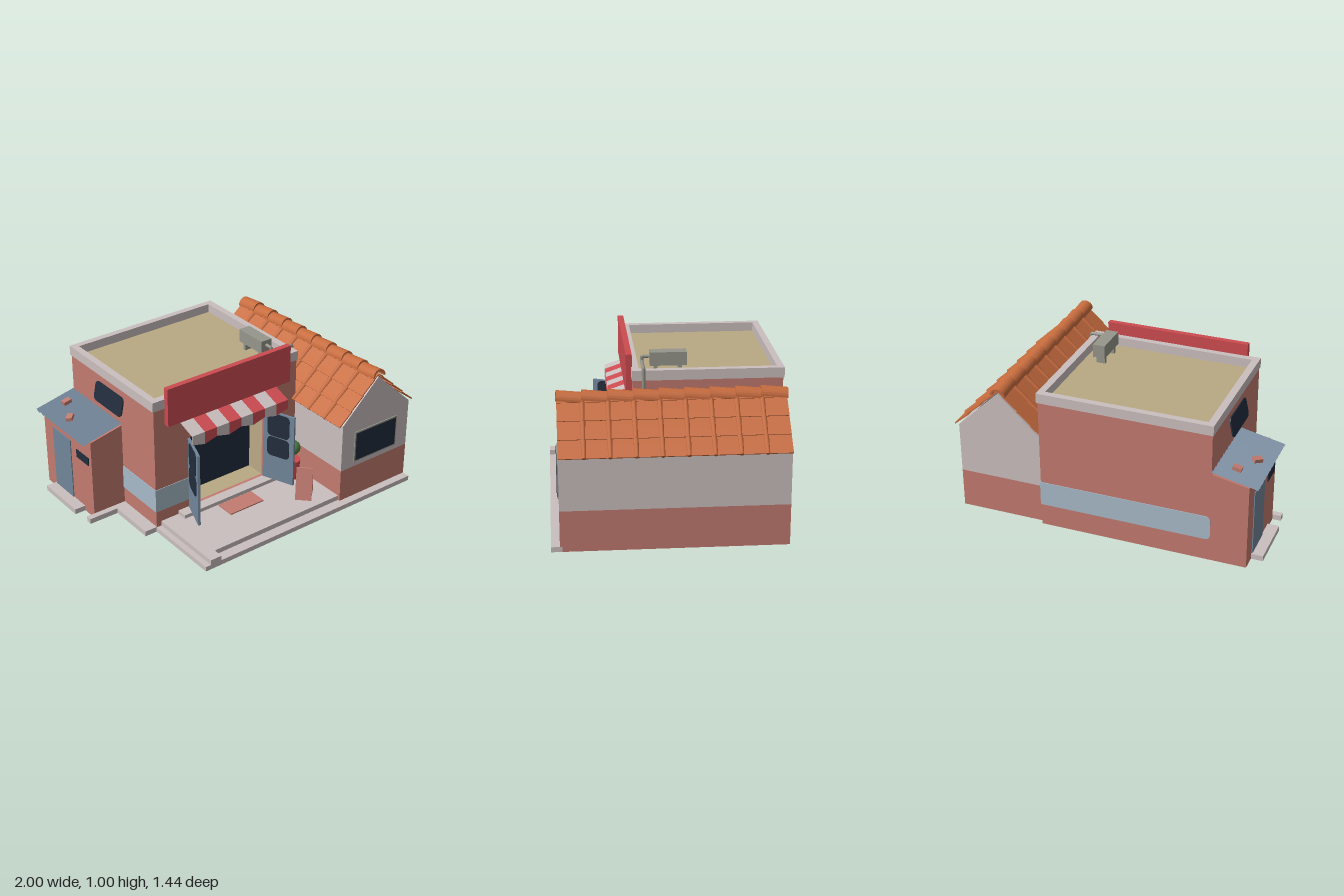
import * as THREE from 'three';

const mat = (name, color) => {
  const m = new THREE.MeshStandardMaterial({ color, side: THREE.DoubleSide });
  m.name = name;
  return m;
};

export function createModel() {
  const root = new THREE.Group();
  root.name = 'cornerShop';
  const salmon = mat('salmon plaster', 0xc27b70), pale = mat('pale stone', 0xcbbfbf);
  const red = mat('red', 0xcc4b50), blue = mat('pale blue', 0xa7bac8);
  const dark = mat('dark glass', 0x222d3c), tan = mat('tan', 0xb9a983);
  const clay = mat('terracotta', 0xc76c3e), slate = mat('slate blue', 0x71869a);
  const grey = mat('metal grey', 0x96968c), green = mat('leaf green', 0x4a8040);

  const add = (name, geo, m, parent = root) => {
    const mesh = new THREE.Mesh(geo, m);
    mesh.name = name;
    parent.add(mesh);
    return mesh;
  };
  const group = (name, x, y, z, parent = root) => {
    const g = new THREE.Group();
    g.name = name;
    g.position.set(x, y, z);
    parent.add(g);
    return g;
  };
  // box from its extents
  const box = (name, m, x0, x1, y0, y1, z0, z1, parent = root) => {
    const b = add(name, new THREE.BoxGeometry(x1 - x0, y1 - y0, z1 - z0), m, parent);
    b.position.set((x0 + x1) / 2, (y0 + y1) / 2, (z0 + z1) / 2);
    return b;
  };
  const poly = (pts) => new THREE.Shape(pts.map(([x, y]) => new THREE.Vector2(x, y)));
  const rectPath = (x0, x1, y0, y1) => poly([[x0, y0], [x1, y0], [x1, y1], [x0, y1]]);
  const slab = (shape, depth) => new THREE.ExtrudeGeometry(shape, { depth, bevelEnabled: false, curveSegments: 6 });
  // rounded rectangle plate centred on its origin
  const roundPlate = (w, h, r, d) => {
    const s = new THREE.Shape(), x = w / 2, y = h / 2;
    s.absarc(x - r, y - r, r, 0, Math.PI / 2);
    s.absarc(-x + r, y - r, r, Math.PI / 2, Math.PI);
    s.absarc(-x + r, -y + r, r, Math.PI, Math.PI * 1.5);
    s.absarc(x - r, -y + r, r, Math.PI * 1.5, Math.PI * 2);
    return slab(s, d).translate(0, 0, -d / 2);
  };

  // main block walls with a doorway
  const front = rectPath(-0.695, 0.405, 0, 0.89);
  front.holes.push(rectPath(-0.44, 0.15, 0.09, 0.59));
  add('frontWall', slab(front, 0.02), salmon).position.z = 0.18;
  box('backWall', salmon, -0.695, 0.405, 0, 0.89, -0.72, -0.7);
  box('leftSideWall', salmon, -0.695, -0.675, 0, 0.89, -0.7, 0.18);
  box('rightSideWall', salmon, 0.385, 0.405, 0, 0.89, -0.7, 0.18);

  // flat roof and parapet
  box('flatRoof', tan, -0.675, 0.385, 0.85, 0.865, -0.7, 0.18);
  const rim = rectPath(-0.702, 0.412, -0.205, 0.727);
  rim.holes.push(rectPath(-0.657, 0.367, -0.16, 0.685));
  add('parapet', slab(rim, 0.063).rotateX(-Math.PI / 2), pale).position.y = 0.86;

  // painted band around the walls
  box('bandFrontLeft', blue, -0.699, -0.44, 0.145, 0.305, 0.2, 0.204);
  box('bandFrontRight', blue, 0.15, 0.409, 0.145, 0.305, 0.2, 0.204);
  box('bandSide', blue, -0.699, -0.695, 0.145, 0.305, -0.16, 0.2);
  box('bandRight', blue, 0.405, 0.409, 0.145, 0.305, -0.724, -0.69);
  add('bandBack', roundPlate(1.1, 0.16, 0.03, 0.004), blue).position.set(-0.145, 0.225, -0.722);
  box('bandBackEnd', blue, 0.3, 0.409, 0.145, 0.305, -0.724, -0.72);

  // shallow shop interior
  box('shopFloor', tan, -0.45, 0.16, 0.07, 0.09, 0.05, 0.18);
  box('shopCeiling', tan, -0.45, 0.16, 0.59, 0.6, 0.05, 0.18);
  box('shopSideA', tan, -0.45, -0.44, 0.09, 0.59, 0.05, 0.18);
  box('shopSideB', tan, 0.15, 0.16, 0.09, 0.59, 0.05, 0.18);
  box('shopBack', dark, -0.45, 0.16, 0.07, 0.6, 0.04, 0.05);

  // open double doors with rounded panes
  for (const s of [-1, 1]) {
    const door = group('door', -0.145 + s * 0.295, 0.09, 0.2);
    door.rotation.y = -Math.PI / 2 + s * 0.36;
    box('doorLeaf', slate, 0, 0.225, 0, 0.5, -0.008, 0.008, door);
    add('upperPane', roundPlate(0.16, 0.165, 0.03, 0.022), dark, door).position.set(0.112, 0.41, 0);
    add('lowerPane', roundPlate(0.16, 0.14, 0.03, 0.022), dark, door).position.set(0.112, 0.25, 0);
  }

  // sign board
  box('signBoard', red, -0.615, 0.325, 0.745, 1.0, 0.2, 0.237);

  // striped awning with pointed valance
  const awning = group('awning', 0, 0, 0);
  const stripe = 0.74 / 8, slopeLen = Math.hypot(0.135, 0.047);
  for (let i = 0; i < 8; i++) {
    const x0 = -0.51 + i * stripe, x1 = x0 + stripe, m = i % 2 ? red : pale;
    const top = add('awningStripe', new THREE.BoxGeometry(stripe, 0.006, slopeLen), m, awning);
    top.position.set((x0 + x1) / 2, 0.71, 0.268);
    top.rotation.x = Math.atan2(0.047, 0.135);
    const drop = [0.628, 0.604];
    add('valance', slab(poly([[x0, 0.688], [x0, drop[i % 2]], [x1, drop[1 - i % 2]], [x1, 0.688]]), 0.006), m, awning).position.z = 0.33;
  }

  // terrace, steps and footings
  box('terrace', pale, -0.66, 0.41, 0, 0.065, 0.2, 0.65);
  box('terraceCorner', pale, -0.66, -0.58, 0, 0.065, 0.65, 0.717);
  box('frontStep', pale, -0.58, 0.965, 0, 0.032, 0.65, 0.717);
  box('sideStep', pale, -0.697, -0.66, 0, 0.032, 0.2, 0.717);
  box('wingFloor', pale, 0.41, 0.95, 0.002, 0.03, 0.2, 0.65);
  box('threshold', pale, -0.53, 0.23, 0.065, 0.09, 0.2, 0.27);
  box('sidePath', pale, -0.78, -0.695, 0, 0.035, -0.16, 0.2);
  box('annexPath', pale, -0.98, -0.78, 0, 0.035, -0.16, -0.12);
  box('annexStoop', pale, -1.0, -0.925, 0, 0.035, -0.62, -0.27);
  box('doorMat', salmon, -0.275, -0.015, 0.065, 0.073, 0.28, 0.41);

  // gabled wing
  const apex = 0.685;
  for (const z of [-0.69, 0.645]) {
    box('gableBase', salmon, 0.405, 0.965, 0, 0.255, z, z + 0.02);
    add('gable', slab(poly([[0.405, 0.255], [0.965, 0.255], [0.965, 0.585], [apex, 0.848], [0.405, 0.585]]), 0.02), pale).position.z = z;
  }
  for (const x of [0.405, 0.945]) {
    box('wingWallBase', salmon, x, x + 0.02, 0, 0.255, -0.67, 0.645);
    box('wingWall', pale, x, x + 0.02, 0.255, 0.585, -0.67, 0.645);
  }
  box('wingWindowFrame', grey, 0.507, 0.863, 0.292, 0.508, 0.665, 0.672);
  box('wingWindow', dark, 0.517, 0.853, 0.302, 0.498, 0.672, 0.675);

  // tiled roof: overlapping rows with ribs on both slopes
  const roof = group('tiledRoof', apex, 0.866, -0.0125);
  for (const turn of [0, Math.PI]) {
    const side = group('roofSide', 0, 0, 0, roof);
    side.rotation.y = turn;
    const slope = group('slope', 0, 0, 0, side);
    slope.rotation.z = -0.75;
    for (let r = 0; r < 4; r++) {
      const end = 0.417 - 0.122 * r, start = Math.max(end - 0.128, 0.005), len = end - start;
      const row = group('tileRow', (start + end) / 2, 0.002, 0, slope);
      row.rotation.z = 0.05;
      add('tiles', new THREE.BoxGeometry(len, 0.008, 1.355), clay, row);
      for (let i = 0; i < 8; i++) {
        const rib = add('rib', new THREE.CylinderGeometry(0.012, 0.017, len, 8).rotateZ(Math.PI / 2), clay, row);
        rib.rotation.y = 0;
        rib.scale.x = -1;
        rib.geometry.rotateY(Math.PI);
        rib.scale.x = 1;
        rib.position.set(0.002, 0.002, (i - 3.5) * 0.151);
      }
    }
  }

  // ridge caps, each tilted over the next
  const arch = new THREE.Shape();
  arch.absarc(0, 0, 0.05, 0, Math.PI, false);
  arch.absarc(0, 0, 0.037, Math.PI, 0, true);
  const cap = slab(arch, 0.162);
  for (let i = 0; i < 9; i++) {
    const c = add('ridgeCap', cap, clay);
    c.position.set(apex, 0.834, 0.51 - i * 0.1505);
    c.rotation.x = -0.1;
  }

  // annex with lean-to roof
  add('annex', slab(poly([[-0.925, 0], [-0.69, 0], [-0.69, 0.6], [-0.925, 0.553]]), 0.56), salmon).position.z = -0.72;
  box('annexDoor', slate, -0.931, -0.925, 0.035, 0.46, -0.61, -0.4);
  box('annexVent', dark, -0.931, -0.925, 0.375, 0.43, -0.33, -0.19);
  const sheet = new THREE.PlaneGeometry(0.29, 0.57, 1, 44).rotateX(-Math.PI / 2);
  const p = sheet.attributes.position;
  for (let i = 0; i < p.count; i++) p.setY(i, 0.009 * Math.sin(Math.floor(i / 2) * Math.PI / 2));
  const flatSheet = sheet.toNonIndexed();
  flatSheet.computeVertexNormals();
  const leanTo = group('leanToRoof', -0.838, 0.585, -0.44);
  leanTo.rotation.z = 0.21;
  add('corrugatedSheet', flatSheet, slate, leanTo);
  for (const [x, z, a] of [[0.025, -0.17, 0], [-0.05, -0.01, 0.75]]) {
    const brick = add('brick', new THREE.BoxGeometry(0.055, 0.024, 0.04), salmon, leanTo);
    brick.position.set(x, 0.019, z);
    brick.rotation.y = a;
  }

  // propped-open side window
  const hatch = group('sideWindow', -0.714, 0.748, -0.265);
  hatch.rotation.set(0, -Math.PI / 2, 0);
  const pane = add('windowPane', roundPlate(0.31, 0.13, 0.03, 0.008), dark, hatch);
  pane.rotation.x = -0.2;

  // rooftop cooling unit and pipe
  box('coolingUnit', grey, 0.21, 0.29, 0.915, 1.0, -0.14, 0.087);
  for (const z of [-0.11, 0.04]) box('unitFoot', grey, 0.22, 0.28, 0.862, 0.915, z, z + 0.02);
  const path = new THREE.CurvePath();
  const pts = [[0.25, 0.967, 0.08], [0.25, 0.967, 0.135], [0.25, 0.935, 0.135], [0.417, 0.935, 0.135], [0.417, 0.55, 0.135]]
    .map((a) => new THREE.Vector3(...a));
  for (let i = 1; i < pts.length; i++) path.add(new THREE.LineCurve3(pts[i - 1], pts[i]));
  add('pipe', new THREE.TubeGeometry(path, 80, 0.011, 8), grey);

  // folding pavement board
  const board = group('pavementBoard', 0.227, 0.065, 0.522);
  board.rotation.y = -Math.PI / 4;
  for (const s of [-1, 1]) {
    const panel = add('boardPanel', new THREE.BoxGeometry(0.105, 0.218, 0.008), salmon, board);
    panel.position.set(0, 0.107, s * 0.025);
    panel.rotation.x = -s * 0.22;
  }

  // potted ball tree
  const plant = group('plant', 0.31, 0.065, 0.3);
  add('pot', new THREE.CylinderGeometry(0.054, 0.04, 0.14, 10), red, plant).position.y = 0.07;
  add('stem', new THREE.CylinderGeometry(0.007, 0.007, 0.1, 6), clay, plant).position.y = 0.17;
  add('foliage', new THREE.IcosahedronGeometry(0.052, 1), green, plant).position.y = 0.225;

  return root;
}
